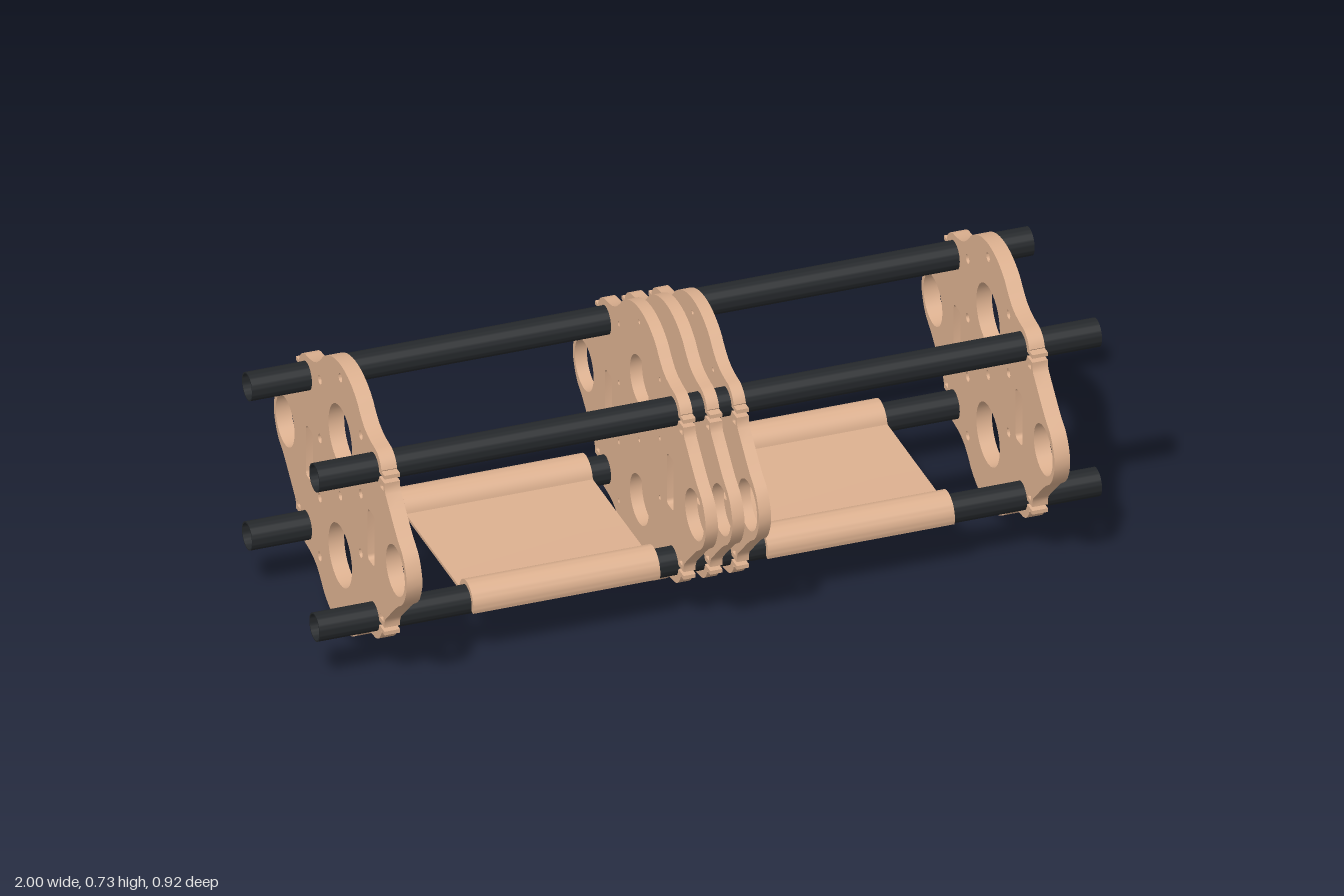
import * as THREE from 'three';
import { toCreasedNormals } from 'three/addons/utils/BufferGeometryUtils.js';

const MID = 0.364;            // height of the plates' centre
const ROD_Z = 0.232, ROD_V = 0.207, ROD_R = 0.036;
const tan = new THREE.MeshStandardMaterial({ color: 0xdcb08f });
const dark = new THREE.MeshStandardMaterial({ color: 0x25282b });

// Points on an arc, angles in degrees
function arc(cx, cy, r, a0, a1, n) {
  return Array.from({ length: n + 1 }, (_, i) => {
    const a = THREE.MathUtils.degToRad(a0 + (a1 - a0) * i / n);
    return [cx + r * Math.cos(a), cy + r * Math.sin(a)];
  });
}

const mirrorX = pts => pts.map(([u, v]) => [-u, v]).reverse();
const mirrorY = pts => pts.map(([u, v]) => [u, -v]).reverse();
const toVectors = pts => pts.map(([u, v]) => new THREE.Vector2(u, v));

function circleHole(u, v, r, n = 32) {
  return new THREE.Path(toVectors(arc(u, v, r, 0, 360, n).slice(0, -1)));
}

function rectHole(u, v, w, h, r) {
  const x = w / 2 - r, y = h / 2 - r;
  return new THREE.Path(toVectors([
    ...arc(u + x, v + y, r, 0, 90, 4), ...arc(u - x, v + y, r, 90, 180, 4),
    ...arc(u - x, v - y, r, 180, 270, 4), ...arc(u + x, v - y, r, 270, 360, 4),
  ]));
}

// Extrude a (z, y) section along x, centred on x
function extrudeX(name, pts, holes, length, x, y, material) {
  const shape = new THREE.Shape(toVectors(pts));
  shape.holes.push(...holes);
  let geo = new THREE.ExtrudeGeometry(shape, { depth: length, bevelEnabled: false });
  geo.translate(0, 0, -length / 2);
  geo.rotateY(Math.PI / 2);
  geo = toCreasedNormals(geo, 0.55);
  const mesh = new THREE.Mesh(geo, material);
  mesh.name = name;
  mesh.position.set(x, y, 0);
  return mesh;
}

// Plate outline with a split clamp around each rod
function plateOutline() {
  const quarter = [
    ...arc(0, 0.178, 0.186, 90, 50, 10),
    [0.132, 0.307], [0.145, 0.295], [0.163, 0.281], [0.185, 0.271], [0.21, 0.265],
    ...arc(ROD_Z, ROD_V, 0.055, 90, 18, 8),
    [0.282, 0.221], [0.305, 0.221], [0.305, 0.211],
    ...arc(ROD_Z, ROD_V, ROD_R + 0.001, 6, 349, 32),
    [0.305, 0.2], [0.305, 0.186], [0.311, 0.173],
    [0.345, 0.14], [0.375, 0.111], [0.395, 0.093], [0.425, 0.072],
    [0.44, 0.055], [0.451, 0.033], [0.457, 0.015], [0.458, 0],
  ];
  const half = [...quarter, ...mirrorY(quarter).slice(1)];
  return [...half, ...mirrorX(half).slice(1, -1)];
}

function plate(name, x, thickness, motorR, screwR) {
  const holes = [];
  for (const s of [-1, 1]) {
    holes.push(circleHole(0, s * 0.165, motorR));            // large centre openings
    holes.push(circleHole(s * 0.38, 0, 0.065));              // side openings
    holes.push(rectHole(s * 0.213, 0, 0.048, 0.14, 0.012));  // strap slots
    for (const t of [-1, 1]) holes.push(rectHole(s * 0.286, t * 0.181, 0.022, 0.012, 0.001)); // nut pockets
  }
  if (screwR) {
    for (const v of [-0.327, 0, 0.327]) holes.push(circleHole(0, v, screwR, 16));
    for (const u of [-0.141, 0.141])
      for (const v of [-0.245, -0.082, 0.082, 0.245]) holes.push(circleHole(u, v, screwR, 16));
  }
  return extrudeX(name, plateOutline(), holes, thickness, x, MID, tan);
}

// Flat tray ending in open clips that hook over the lower rods
function tray(name, x) {
  const half = [
    [0, 0.008],
    ...arc(ROD_Z, 0, 0.049, 170, -20, 24),
    ...arc(ROD_Z, 0, ROD_R + 0.0005, -20, 180, 24),
    [0.184, 0], [0, 0],
  ];
  return extrudeX(name, [...half, ...mirrorX(half).slice(1, -1)], [], 0.478, x, MID - ROD_V, tan);
}

export function createModel() {
  const model = new THREE.Group();
  model.name = 'rodFrame';

  // End plates and the stack of three in the middle
  model.add(plate('rightEndPlate', -0.828, 0.04, 0.081, 0.012));
  model.add(plate('leftEndPlate', 0.828, 0.04, 0.081, 0.012));
  model.add(plate('rightMiddlePlate', -0.068, 0.031, 0.065, 0.006));
  model.add(plate('centrePlate', 0, 0.031, 0.065, 0));
  model.add(plate('leftMiddlePlate', 0.068, 0.031, 0.065, 0.006));

  // Four hollow rods
  for (const [row, v] of [['lower', -ROD_V], ['upper', ROD_V]]) {
    for (const [side, z] of [['Front', ROD_Z], ['Back', -ROD_Z]]) {
      const rod = extrudeX(`${row}${side}Rod`, arc(0, 0, ROD_R, 0, 360, 40).slice(0, -1),
        [circleHole(0, 0, 0.0325, 40)], 2, 0, MID + v, dark);
      rod.position.z = z;
      model.add(rod);
    }
  }

  // Trays between the plates
  model.add(tray('rightTray', -0.373));
  model.add(tray('leftTray', 0.38));
  return model;
}
